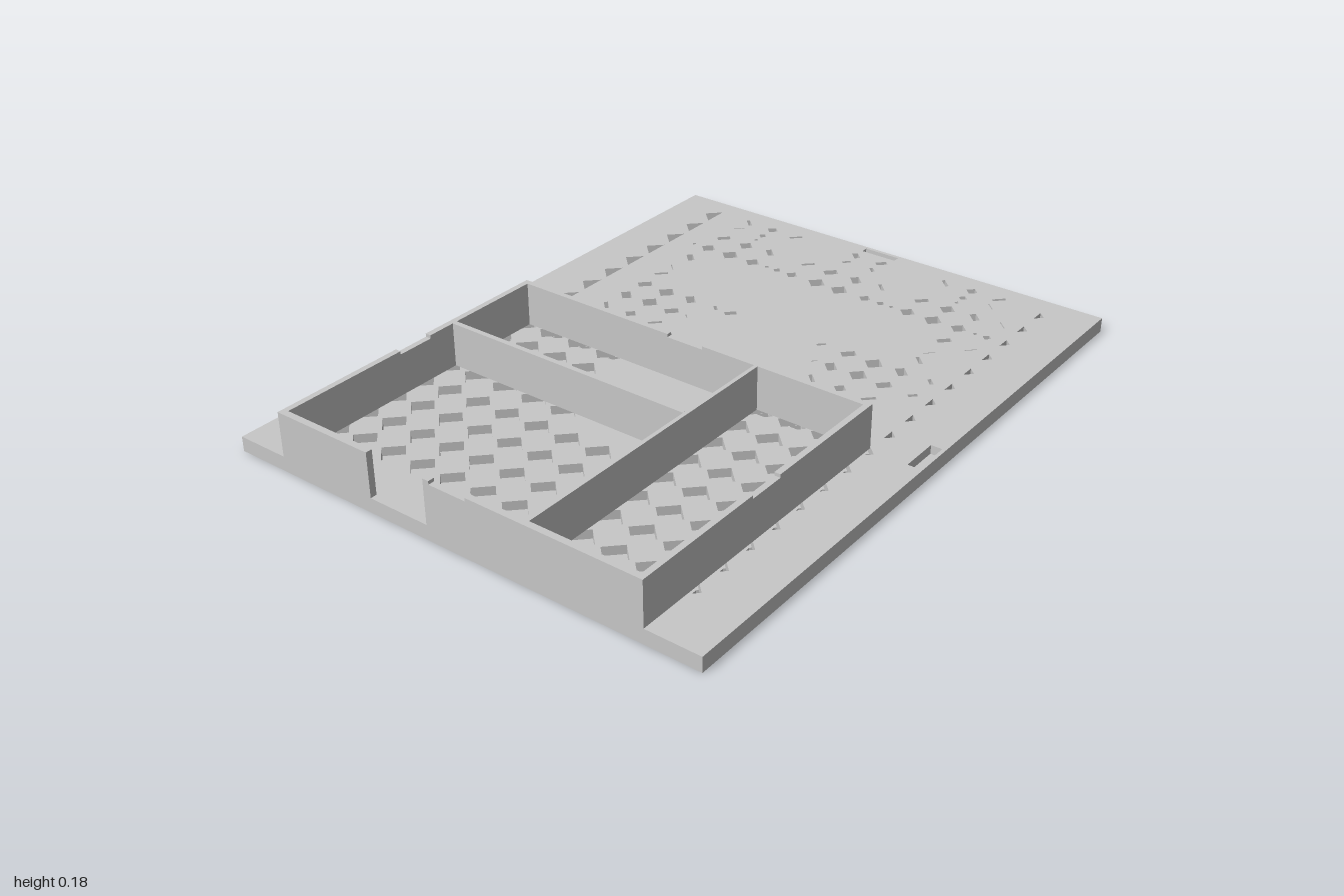
import * as THREE from 'three';

const W = 0.765, SPLIT = 0.018, DECK = 0.045, TOP = 0.18;
const PITCH = 0.107, R = 0.045;            // coarse diamond grid
const FINE = 0.0834, r = 0.03;             // fine grid that overlaps it
const cols = Array.from({ length: 12 }, (_, i) => -0.598 + PITCH * i);
const rows = Array.from({ length: 17 }, (_, i) => 0.815 - PITCH * i);

// Is this spot of the rear deck perforated?
function perforated(x, z) {
  const a = Math.abs(x);
  if (z < -0.62) return true;
  if (z < -0.42) return a > 0.42;
  if (z < -0.3) return a > 0.13;
  return z < -0.09 && a > 0.22;
}

const diamond = (x, z, h) => [[x - h, z], [x, z - h], [x + h, z], [x, z + h]];
const rect = (x0, x1, z0, z1) => [[x0, z0], [x1, z0], [x1, z1], [x0, z1]];

// Overlap of a coarse and a fine diamond: a rectangle on the diagonal axes
function overlap(x, z, fx, fz) {
  const du = fx + fz - x - z, dv = fx - fz - x + z;
  const u0 = Math.max(-R, du - r), u1 = Math.min(R, du + r);
  const v0 = Math.max(-R, dv - r), v1 = Math.min(R, dv + r);
  if (u1 - u0 < 0.004 || v1 - v0 < 0.004) return null;
  return [[u0, v0], [u1, v0], [u1, v1], [u0, v1]].map(([u, v]) => [x + (u + v) / 2, z + (u - v) / 2]);
}

// Flat slab with holes; points are [x, z]
function slab(holes, y0, y1) {
  const toPoints = (list) => list.map(([x, z]) => new THREE.Vector2(x, -z));
  // The outline runs counter-clockwise so that the hole walls face inwards
  const shape = new THREE.Shape(toPoints(rect(-W, W, -1, 1)).reverse());
  for (const h of holes) shape.holes.push(new THREE.Path(toPoints(h)));
  const geo = new THREE.ExtrudeGeometry(shape, { depth: y1 - y0, bevelEnabled: false });
  return geo.rotateX(-Math.PI / 2).translate(0, y0, 0);
}

export function createModel() {
  const group = new THREE.Group();
  const grey = new THREE.MeshStandardMaterial({ color: 0xc8c8c8 });
  grey.name = 'plain grey';
  const add = (name, geo) => {
    const mesh = new THREE.Mesh(geo, grey);
    mesh.name = name;
    group.add(mesh);
  };

  const upper = [], lower = [];

  // Half diamonds outside the tray sides, open right through the plate
  for (const z of rows) {
    for (const s of [-1, 1]) {
      lower.push([
        [s * 0.643, z], [s * 0.6, z - 0.043], [s * 0.586, z - 0.029],
        [s * 0.586, z + 0.029], [s * 0.6, z + 0.043],
      ]);
    }
    if (z < 0) {
      upper.push([[-0.602, z - 0.041], [-0.602, z + 0.041], [-0.643, z]]);
      upper.push([[0.602, z - 0.022], [0.602, z + 0.022], [0.624, z]]);
    }
  }

  // Blind diamond pockets in the tray floor
  for (const z of rows.filter((v) => v > 0)) {
    for (const x of cols) {
      if (z < 0.3 && x > -0.25 && x < 0.24) continue;
      if (z < 0.4 && Math.abs(x) < 0.1) continue;
      upper.push(diamond(x, z, R));
    }
  }

  // Small triangles either side of the tray's rear wall
  for (const x of cols.slice(1, 11)) {
    if (x > -0.25 && x < 0.24) continue;
    const t = [[x - 0.035, -0.04], [x + 0.035, -0.04], [x, -0.01]];
    upper.push(t);
    lower.push(t, [[x - 0.023, 0.045], [x + 0.023, 0.045], [x, 0.022]]);
  }

  // Fine perforations of the rear deck
  for (const z of rows.filter((v) => v < -0.1)) {
    for (const x of cols.slice(1)) {
      for (let i = -2; i < 12; i++) {
        for (let j = -3; j < 8; j++) {
          const h = overlap(x, z, -0.385 + FINE * i, -0.683 + FINE * j);
          if (!h) continue;
          const cx = (h[0][0] + h[2][0]) / 2, cz = (h[0][1] + h[2][1]) / 2;
          if (Math.max(...h.map((p) => p[0])) < 0.595 && perforated(cx, cz)) upper.push(h);
        }
      }
    }
  }

  // Larger staggered diamonds on the underside
  for (let k = 0; k < 13; k++) {
    const z = -0.93 + 0.065 * k;
    for (let i = 0; i < 8; i++) {
      const x = -0.535 + 0.15 * i + (k % 2) * 0.075;
      if (x < 0.53 && perforated(x, z)) lower.push(diamond(x, z, 0.048));
    }
  }

  // Shallow recesses at the middle of each side
  upper.push(
    rect(-0.06, 0.06, -0.988, -0.965),
    rect(-0.757, -0.725, -0.065, 0.055),
    rect(0.72, 0.754, -0.065, 0.055),
    rect(-0.06, 0.055, 0.955, 0.975),
  );

  add('lowerPlate', slab(lower, 0, SPLIT));
  add('upperPlate', slab(upper, SPLIT, DECK));

  // Tray walls, some lowered by a shallow notch
  const wall = (name, x0, x1, z0, z1, top = TOP) => {
    const geo = new THREE.BoxGeometry(x1 - x0, top - DECK, z1 - z0);
    add(name, geo.translate((x0 + x1) / 2, (top + DECK) / 2, (z0 + z1) / 2));
  };
  const low = TOP - 0.01;
  wall('rearWall', -0.6, -0.06, 0.045, 0.062);
  wall('rearWallNotch', -0.06, 0.06, 0.045, 0.062, low);
  wall('rearWall', 0.06, 0.6, 0.045, 0.062);
  wall('frontWallRight', -0.6, -0.275, 0.98, 1);
  wall('frontWallEnd', -0.08, -0.06, 0.98, 1);
  wall('frontWallNotch', -0.06, 0.06, 0.98, 1, low);
  wall('frontWallLeft', 0.06, 0.6, 0.98, 1);
  for (const x of [-0.6, 0.582]) {
    wall('sideWall', x, x + 0.018, 0.062, 0.465);
    wall('sideWallNotch', x, x + 0.018, 0.465, 0.58, low);
    wall('sideWall', x, x + 0.018, 0.58, 0.98);
  }
  wall('crossDivider', -0.582, 0.235, 0.36, 0.376);
  wall('longDivider', 0.235, 0.247, 0.062, 0.98);

  return group;
}
